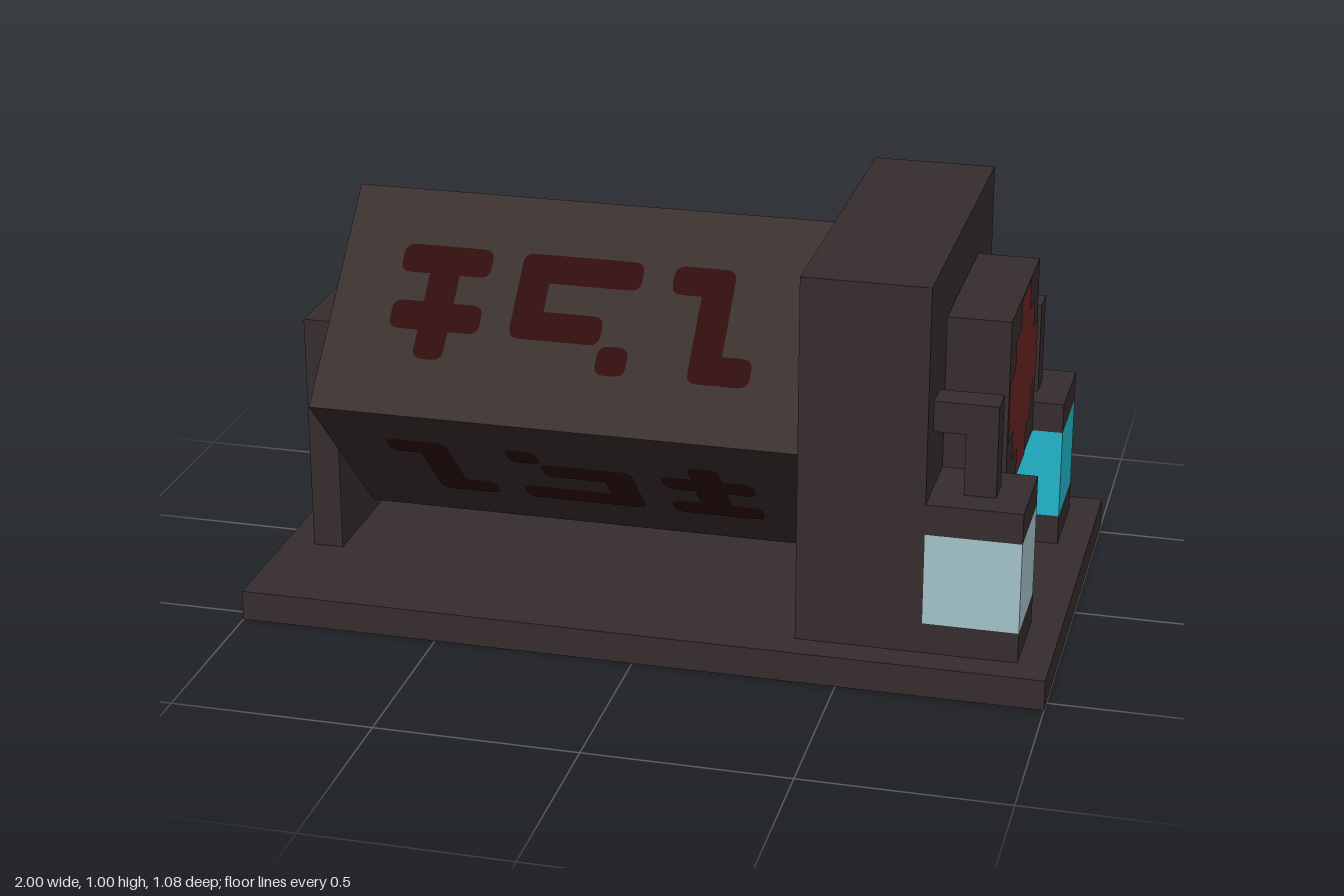
import * as THREE from 'three';

const U = 1 / 13; // modelling grid unit

const paint = (name, color) => {
  const m = new THREE.MeshStandardMaterial({ color });
  m.name = name;
  return m;
};

// Box given by its min and max corners in grid units
function block(parent, name, material, [x0, y0, z0], [x1, y1, z1]) {
  const geo = new THREE.BoxGeometry((x1 - x0) * U, (y1 - y0) * U, (z1 - z0) * U);
  const mesh = new THREE.Mesh(geo, material);
  mesh.position.set((x0 + x1) / 2 * U, (y0 + y1) / 2 * U, (z0 + z1) / 2 * U);
  mesh.name = name;
  parent.add(mesh);
  return mesh;
}

// Flat rectangle with softened corners, in grid units
function softRect(x, y, w, h, r = 0.35) {
  const s = new THREE.Shape();
  const p = (a, b) => [(x + a) * U, (y + b) * U];
  s.moveTo(...p(r, 0));
  s.lineTo(...p(w - r, 0));
  s.quadraticCurveTo(...p(w, 0), ...p(w, r));
  s.lineTo(...p(w, h - r));
  s.quadraticCurveTo(...p(w, h), ...p(w - r, h));
  s.lineTo(...p(r, h));
  s.quadraticCurveTo(...p(0, h), ...p(0, h - r));
  s.lineTo(...p(0, r));
  s.quadraticCurveTo(...p(0, 0), ...p(r, 0));
  return s;
}

// Abstract ornament as strokes [x, y, width, height] on a 12 x 4 panel
const STROKES = [
  [0, 3, 3, 1], [0, 1, 3, 1], [1, 0, 1, 4],
  [5, 3, 3, 1], [4, 3, 4, 1], [4, 1, 1, 3], [4, 1, 3, 1], [7, 0, 1, 1],
  [9, 3, 2, 1], [10, 0, 1, 4], [10, 0, 2, 1],
];

export function createModel() {
  const model = new THREE.Group();
  model.name = 'rollerMachine';
  const body = paint('dark casing', 0x362c2d);
  const drum = paint('roller grey', 0x3a312f);
  const mark = paint('dark red ornament', 0x310d0d);
  const red = paint('red dial', 0x6a2424);
  const pale = paint('pale glass', 0xa5c5ca);
  const cyan = paint('cyan glass', 0x22b8cc);

  // Base, housing and roller support
  block(model, 'base', body, [-13, 0, -7], [13, 1, 7]);
  block(model, 'housing', body, [5, 1, -6], [9, 13, 6]);
  block(model, 'rollerSupport', body, [-12, 1, -3], [-11, 9, 3]);

  // Square roller standing on its edge
  const roller = new THREE.Group();
  roller.name = 'roller';
  roller.position.set(-3 * U, 7 * U, -0.2 * U);
  model.add(roller);
  const bar = block(roller, 'rollerBar', drum, [-8, -4, -4], [8, 4, 4]);
  bar.rotation.x = Math.PI / 4;

  // Ornament on the four long faces
  const ornament = new THREE.ShapeGeometry(
    STROKES.map(([x, y, w, h]) => softRect(x - 6, y - 2, w, h)), 4);
  for (const z of [0, Math.PI]) {
    for (const y of [0, Math.PI]) {
      const face = new THREE.Group();
      face.name = 'rollerFace';
      face.rotation.set(-Math.PI / 4, y, z, 'ZYX');
      const plate = new THREE.Mesh(ornament, mark);
      plate.name = 'ornament';
      plate.position.z = 4 * U + 0.002;
      face.add(plate);
      roller.add(face);
    }
  }

  // Dial block with a stepped red disc on its outer face
  block(model, 'dialBlock', body, [9, 5, -3], [11, 11, 3]);
  const dial = new THREE.Shape();
  const steps = [[1, 3], [2, 3], [2, 2], [3, 2], [3, 1]]
    .slice(0, 1).concat([[1, 2], [2, 2], [2, 1], [3, 1]]);
  const back = [...steps].reverse();
  const outline = [
    ...steps, ...back.map(([x, y]) => [x, -y]),
    ...steps.map(([x, y]) => [-x, -y]), ...back.map(([x, y]) => [-x, y]),
  ];
  dial.setFromPoints(outline.map(([x, y]) => new THREE.Vector2(x * U, y * U)));
  const disc = new THREE.Mesh(new THREE.ShapeGeometry(dial), red);
  disc.name = 'dial';
  disc.rotation.y = Math.PI / 2;
  disc.position.set(11 * U + 0.002, 8 * U, 0);
  model.add(disc);

  // Two glass canisters with bent pipes leading into the housing
  for (const [side, glass] of [[1, pale], [-1, cyan]]) {
    const canister = new THREE.Group();
    canister.name = side > 0 ? 'frontCanister' : 'backCanister';
    canister.position.z = side * 4.5 * U;
    model.add(canister);
    block(canister, 'canisterFoot', body, [9, 1, -1.5], [12, 2, 1.5]);
    block(canister, 'canisterGlass', glass, [9, 2, -1.5], [12, 5, 1.5]);
    block(canister, 'canisterLid', body, [9, 5, -1.5], [12, 6, 1.5]);
    block(canister, 'pipeUpright', body, [10, 6, -0.5], [11, 9, 0.5]);
    block(canister, 'pipeArm', body, [9, 8, -0.5], [10, 9, 0.5]);
  }

  return model;
}
